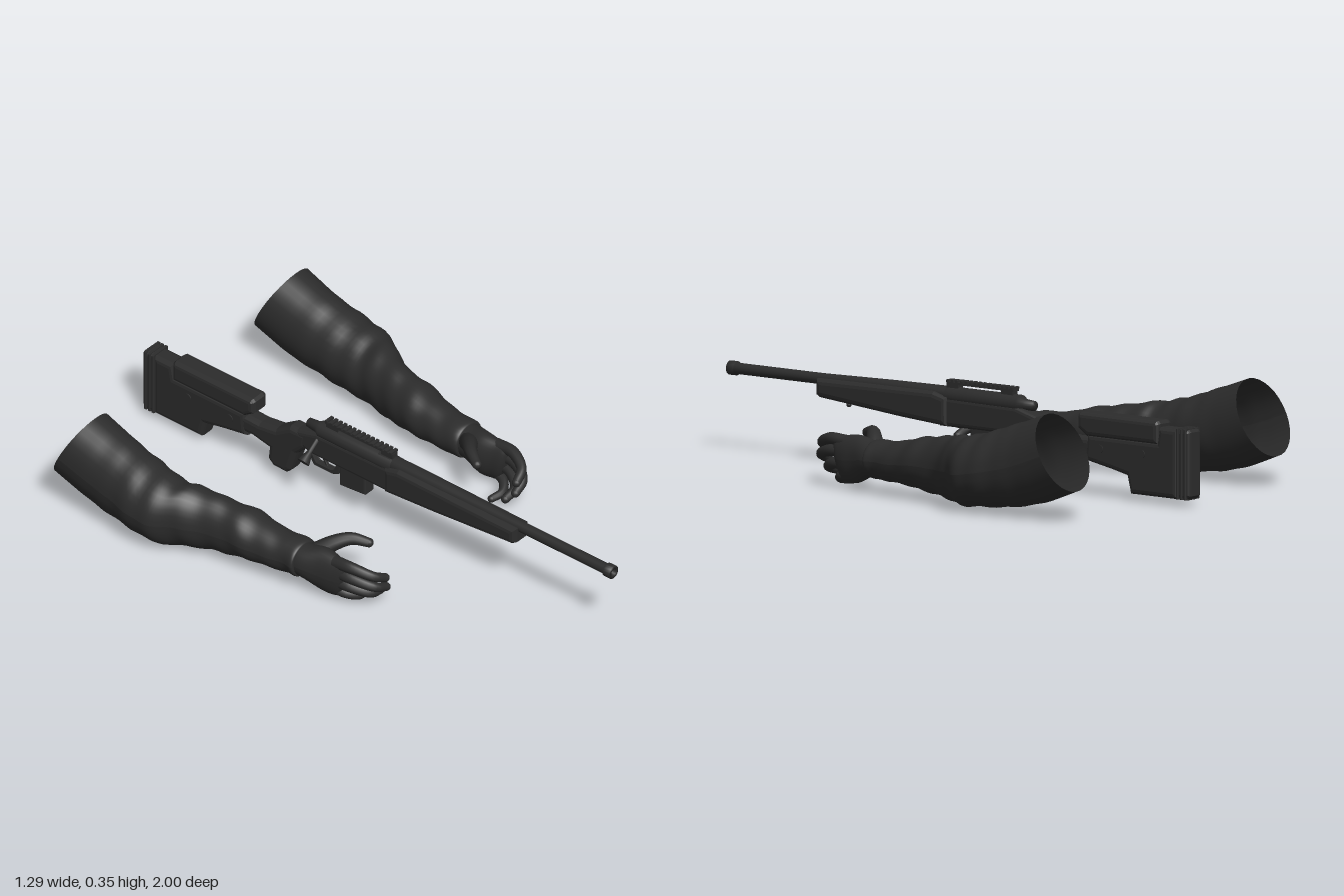
import * as THREE from 'three';

const dark = new THREE.MeshStandardMaterial({ color: 0x2c2c2c, side: THREE.DoubleSide });
dark.name = 'charcoal';
const V = (x, y, z) => new THREE.Vector3(x, y, z);

function add(group, name, geometry, x = 0, y = 0, z = 0) {
  const m = new THREE.Mesh(geometry, dark);
  m.name = name;
  m.position.set(x, y, z);
  group.add(m);
  return m;
}

// Side profile of [z, y] points, extruded to a width across x with bevelled edges
function slab(points, width, bevel = 0.01, hole) {
  const shape = new THREE.Shape(points.map(p => new THREE.Vector2(...p)));
  if (hole) shape.holes.push(new THREE.Path(hole.map(p => new THREE.Vector2(...p))));
  const g = new THREE.ExtrudeGeometry(shape, {
    depth: width - 2 * bevel, bevelThickness: bevel, bevelSize: bevel, bevelOffset: -bevel, bevelSegments: 3,
  });
  g.translate(0, 0, -(width - 2 * bevel) / 2);
  return g.rotateY(-Math.PI / 2);
}

// Turned part along z from [radius, z] pairs
function turned(points, sides = 20) {
  return new THREE.LatheGeometry(points.map(p => new THREE.Vector2(...p)), sides).rotateX(Math.PI / 2);
}

// Smooth skin through elliptical stations [z, cx, cy, rx, ry, tilt]; folds ripple the cloth
function loft(stations, side, steps, fold = 0) {
  const sides = 32, pos = [], index = [];
  const n = stations.length - 1;
  const at = (i, k) => stations[Math.max(0, Math.min(n, i))][k];
  for (let s = 0; s <= steps; s++) {
    const t = (s / steps) * n, i = Math.min(n - 1, Math.floor(t)), f = t - i;
    const [z, cx, cy, rx, ry, tilt] = [0, 1, 2, 3, 4, 5].map(k => {
      const a = at(i - 1, k), b = at(i, k), c = at(i + 1, k), d = at(i + 2, k);
      return b + 0.5 * f * (c - a + f * (2 * a - 5 * b + 4 * c - d + f * (3 * (b - c) + d - a)));
    });
    for (let j = 0; j <= sides; j++) {
      const a = (j % sides) / sides * Math.PI * 2;
      const calm = Math.min(1, Math.max(0, (z + 0.8) * 4));
      const k = 1 + fold * calm * (Math.sin(z * 62 + 2 * Math.sin(a)) + 0.6 * Math.sin(z * 31 + 3 * a));
      const dy = ry * Math.sin(a) * k;
      pos.push(side * cx + side * rx * Math.cos(a) * k, cy + dy, z + tilt * dy);
    }
  }
  const row = sides + 1;
  for (let s = 0; s < steps; s++) for (let j = 0; j < sides; j++) {
    const a = s * row + j, b = a + 1, c = a + row, d = c + 1;
    if (side > 0) index.push(a, b, c, b, d, c);
    else index.push(a, c, b, b, c, d);
  }
  const g = new THREE.BufferGeometry();
  g.setAttribute('position', new THREE.Float32BufferAttribute(pos, 3));
  g.setIndex(index);
  g.computeVertexNormals();
  return g;
}

// Tapered round finger with a rounded tip
function finger(group, name, points, r0, r1, side) {
  const path = new THREE.CatmullRomCurve3(points.map(p => V(p[0] * side, p[1], p[2])));
  const g = new THREE.TubeGeometry(path, 16, 1, 12);
  const p = g.attributes.position, v = V(0, 0, 0);
  for (let i = 0; i < p.count; i++) {
    const t = Math.floor(i / 13) / 16, c = path.getPointAt(t);
    v.fromBufferAttribute(p, i).sub(c).multiplyScalar(r0 + (r1 - r0) * t).add(c);
    p.setXYZ(i, v.x, v.y, v.z);
  }
  add(group, name, g);
  const tip = path.getPointAt(1);
  add(group, name + 'Tip', new THREE.SphereGeometry(r1, 12, 10), tip.x, tip.y, tip.z);
}

function arm(side) {
  const g = new THREE.Group();
  g.name = side > 0 ? 'leftArm' : 'rightArm';
  // Sleeve, open at the upper end
  add(g, 'sleeve', loft([
    [-0.86, 0.52, 0.235, 0.12, 0.125, 0.48], [-0.7, 0.52, 0.18, 0.114, 0.13, 0.35],
    [-0.5, 0.525, 0.14, 0.115, 0.118, 0.15], [-0.4, 0.495, 0.135, 0.09, 0.114, 0],
    [-0.3, 0.462, 0.13, 0.077, 0.1, 0], [-0.2, 0.445, 0.13, 0.083, 0.088, 0],
    [-0.1, 0.435, 0.121, 0.073, 0.071, 0], [-0.02, 0.425, 0.121, 0.069, 0.067, 0],
    [0.02, 0.427, 0.12, 0.066, 0.065, 0], [0.025, 0.427, 0.12, 0.05, 0.05, 0],
  ], side, 90, 0.022));
  // Gloved palm
  add(g, 'palm', loft([
    [-0.02, 0.427, 0.12, 0.056, 0.058, 0], [0.04, 0.425, 0.12, 0.056, 0.062, 0],
    [0.1, 0.415, 0.112, 0.05, 0.08, 0], [0.15, 0.417, 0.107, 0.038, 0.078, 0.15],
    [0.185, 0.415, 0.107, 0.027, 0.068, 0.25], [0.2, 0.412, 0.108, 0.002, 0.01, 0.25],
  ], side, 30));
  // Curled fingers and thumb
  finger(g, 'indexFinger', [[0.42, 0.165, 0.15], [0.417, 0.17, 0.22], [0.385, 0.148, 0.285], [0.34, 0.125, 0.3]], 0.023, 0.015, side);
  finger(g, 'middleFinger', [[0.42, 0.13, 0.15], [0.42, 0.13, 0.22], [0.385, 0.108, 0.29], [0.335, 0.085, 0.3]], 0.023, 0.015, side);
  finger(g, 'ringFinger', [[0.42, 0.092, 0.15], [0.415, 0.088, 0.21], [0.375, 0.066, 0.265], [0.325, 0.05, 0.265]], 0.022, 0.015, side);
  finger(g, 'littleFinger', [[0.418, 0.058, 0.13], [0.408, 0.046, 0.185], [0.37, 0.03, 0.215], [0.325, 0.022, 0.205]], 0.02, 0.013, side);
  finger(g, 'thumb', [[0.4, 0.14, 0.045], [0.35, 0.175, 0.09], [0.31, 0.188, 0.13], [0.28, 0.178, 0.18]], 0.034, 0.016, side);
  return g;
}

function rifle() {
  const g = new THREE.Group();
  g.name = 'rifle';
  // Barrel, muzzle and receiver tube
  add(g, 'barrel', turned([[0, 0], [0.028, 0], [0.025, 0.3], [0.019, 0.6], [0.019, 0.97], [0.024, 0.972],
    [0.024, 1], [0.012, 1], [0.012, 0.96], [0, 0.96]]), 0, 0.285, 0);
  add(g, 'receiver', turned([[0, -0.31], [0.016, -0.31], [0.02, -0.27], [0.032, -0.25], [0.032, 0.06], [0, 0.06]]), 0, 0.28, 0);
  // Fore-end and action bed
  add(g, 'foreEnd', slab([[0.605, 0.29], [0.605, 0.235], [0.59, 0.226], [0.25, 0.195], [0.04, 0.18], [0.04, 0.28], [0.1, 0.295]], 0.084, 0.02));
  add(g, 'actionBed', slab([[0.08, 0.28], [0.08, 0.18], [-0.28, 0.18], [-0.34, 0.2], [-0.34, 0.25], [-0.25, 0.275]], 0.066, 0.015));
  add(g, 'slingStud', new THREE.SphereGeometry(0.009, 10, 8), 0, 0.209, 0.49);
  // Raised sight rail with cross teeth
  add(g, 'rail', new THREE.BoxGeometry(0.028, 0.008, 0.29), 0, 0.325, -0.085);
  for (let i = 0; i < 15; i++) add(g, 'railTooth', new THREE.BoxGeometry(0.034, 0.008, 0.011), 0, 0.332, 0.053 - i * 0.0197);
  for (const z of [0.035, -0.2]) add(g, 'railFoot', new THREE.BoxGeometry(0.026, 0.03, 0.05), 0, 0.31, z);
  // Bolt handle
  const handle = add(g, 'boltHandle', new THREE.CylinderGeometry(0.008, 0.008, 0.08, 10), -0.058, 0.232, -0.25);
  handle.rotation.z = -0.95;
  const knob = add(g, 'boltKnob', new THREE.CylinderGeometry(0.01, 0.022, 0.04, 12), -0.085, 0.212, -0.25);
  knob.rotation.z = -0.95;
  // Magazine, trigger and guard
  add(g, 'magazine', slab([[-0.05, 0.2], [-0.05, 0.115], [-0.16, 0.105], [-0.16, 0.2]], 0.048, 0.006));
  add(g, 'triggerGuard', slab([[-0.16, 0.19], [-0.175, 0.135], [-0.2, 0.125], [-0.28, 0.125], [-0.32, 0.19]], 0.024, 0.003,
    [[-0.178, 0.18], [-0.19, 0.143], [-0.205, 0.135], [-0.272, 0.135], [-0.3, 0.18]]));
  add(g, 'trigger', slab([[-0.225, 0.19], [-0.235, 0.16], [-0.225, 0.142], [-0.233, 0.142], [-0.246, 0.16], [-0.24, 0.19]], 0.012, 0.002));
  // Pistol grip and neck
  add(g, 'grip', slab([[-0.29, 0.25], [-0.3, 0.19], [-0.34, 0.15], [-0.365, 0.07], [-0.385, 0.05], [-0.44, 0.052],
    [-0.465, 0.075], [-0.46, 0.12], [-0.53, 0.135], [-0.62, 0.13], [-0.62, 0.205], [-0.5, 0.2], [-0.43, 0.21], [-0.37, 0.25]], 0.068, 0.02));
  // Butt stock, cheek rest and ribbed pad
  add(g, 'buttStock', slab([[-0.56, 0.215], [-0.55, 0.125], [-0.66, 0.105], [-0.73, 0.09], [-0.745, 0.03], [-0.95, 0.03],
    [-0.95, 0.265], [-0.87, 0.265], [-0.86, 0.215]], 0.074, 0.018));
  add(g, 'cheekRest', slab([[-0.52, 0.275], [-0.52, 0.232], [-0.56, 0.205], [-0.87, 0.205], [-0.87, 0.275], [-0.86, 0.285], [-0.53, 0.285]], 0.08, 0.018));
  for (const z of [-0.62, -0.8]) {
    const screw = add(g, 'cheekScrew', new THREE.CylinderGeometry(0.014, 0.014, 0.08, 12), 0, 0.17, z);
    screw.rotation.z = Math.PI / 2;
  }
  add(g, 'buttPad', slab([[-0.945, 0.035], [-0.945, 0.265], [-0.985, 0.27], [-1, 0.258], [-1, 0.045], [-0.985, 0.03]], 0.07, 0.015));
  for (let i = 0; i < 3; i++)
    add(g, 'padRib', slab([[0, 0.032], [0, 0.27], [-0.01, 0.27], [-0.01, 0.032]], 0.077, 0.004), 0, 0, -0.947 - i * 0.016);
  return g;
}

export function createModel() {
  const model = new THREE.Group();
  model.name = 'rifleAndArms';
  model.add(rifle(), arm(1), arm(-1));
  return model;
}
